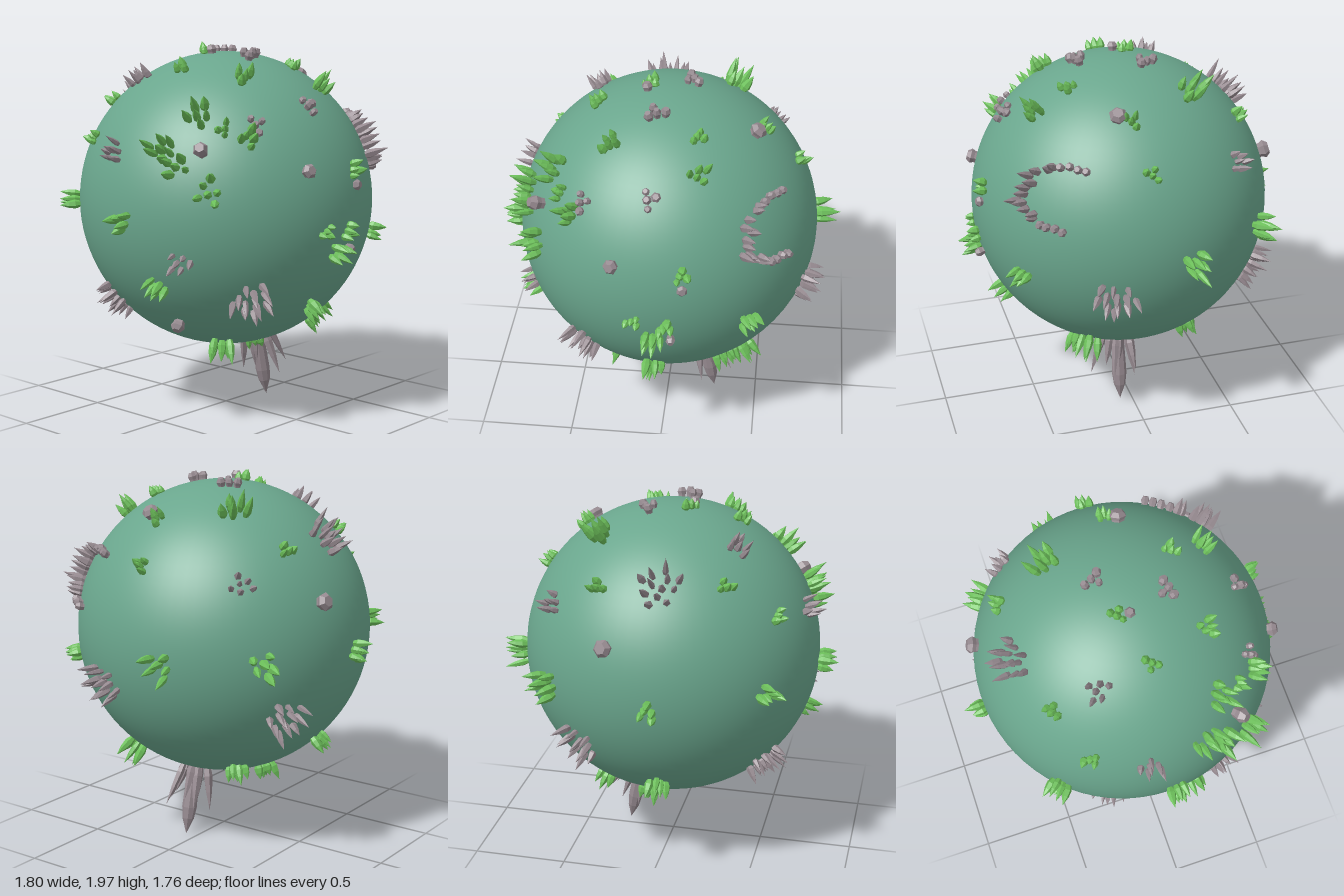
import * as THREE from 'three';

const R = 0.782, CENTER = new THREE.Vector3(0, 1.134, 0), UP = new THREE.Vector3(0, 1, 0);
const mat = (color, flatShading) => new THREE.MeshStandardMaterial({ color, flatShading });
const GROUND = mat(0x6aa68d, false), GREEN = mat(0x6cbf5a, true), STONE = mat(0x968a90, true);

// small seeded generator
let seed = 7;
const rnd = (a, b) => {
  seed = (seed * 16807) % 2147483647;
  return a + (b - a) * seed / 2147483647;
};

// unit-height, unit-radius low-poly pieces, standing on their base
const lathe = (sides, ...p) => new THREE.LatheGeometry(p.map(([r, y]) => new THREE.Vector2(r, y)), sides);
const LEAF = lathe(6, [0, 0], [0.6, 0.05], [1, 0.32], [0.75, 0.62], [0, 1]);
const SPIKE = lathe(5, [0.6, 0], [1, 0.25], [0.7, 0.6], [0, 1]);
const ROCK = lathe(6, [0.75, 0], [0.8, 0.35], [1, 0.65], [0.6, 1], [0, 1]);
const PILLAR = lathe(8, [0.75, 0], [0.95, 0.45], [1, 0.62], [0.8, 0.78], [0, 1]);

// direction from longitude (0 = front, 90 = left) and latitude in degrees
const toward = (lon, lat) => new THREE.Vector3().setFromSphericalCoords(
  1, THREE.MathUtils.degToRad(90 - lat), THREE.MathUtils.degToRad(lon));

// one piece rooted in the globe at direction dir, pointing along aim
function piece(name, geo, material, dir, aim, radius, height) {
  const m = new THREE.Mesh(geo, material);
  m.name = name;
  m.position.copy(CENTER).addScaledVector(dir, R - 0.012);
  m.quaternion.setFromUnitVectors(UP, aim.clone().normalize());
  m.rotateY(rnd(0, 6));
  m.scale.set(radius, height, radius);
  return m;
}

// clumps at the given places, each fanning its pieces out over a small disc
function clumps(name, geo, material, { count, spread, height, radius }, places) {
  const group = new THREE.Group();
  group.name = name;
  for (const [lon, lat] of places) {
    const n = toward(lon, lat);
    const q = new THREE.Quaternion().setFromUnitVectors(UP, n);
    for (let i = 0; i < count; i++) {
      const a = i * 2.4 + lon, d = spread * Math.sqrt((i + 0.3) / count);
      const off = new THREE.Vector3(Math.cos(a) * d, 0, Math.sin(a) * d).applyQuaternion(q);
      const dir = n.clone().multiplyScalar(R).add(off).normalize();
      const aim = dir.clone().addScaledVector(off, 2.5);
      group.add(piece(name + 'Piece', geo, material, dir, aim, radius * rnd(0.8, 1.15), height * rnd(0.7, 1.15)));
    }
  }
  return group;
}

// crescent ridge: spikes in the middle, low rocks at both ends
function crescentRidge() {
  const ridge = new THREE.Group();
  ridge.name = 'crescentRidge';
  const curve = new THREE.CatmullRomCurve3(
    [[61, 33], [47, 33], [38, 26], [36, 19], [43, 14], [54, 11]].map((p) => toward(...p)));
  for (let i = 0; i < 20; i++) {
    const t = i / 19, mid = Math.sin(Math.PI * t);
    const jitter = new THREE.Vector3(rnd(-1, 1), rnd(-1, 1), rnd(-1, 1));
    const dir = curve.getPoint(t).addScaledVector(jitter, 0.035 * mid).normalize();
    const tall = mid > 0.55;
    const height = tall ? 0.07 + 0.07 * mid * rnd(0.4, 1) : 0.055;
    ridge.add(piece('ridgeStone', tall ? SPIKE : ROCK, STONE, dir, dir, 0.023, height));
  }
  return ridge;
}

export function createModel() {
  const model = new THREE.Group();
  model.name = 'planet';

  const globe = new THREE.Mesh(new THREE.SphereGeometry(R, 72, 48), GROUND);
  globe.name = 'globe';
  globe.position.copy(CENTER);
  model.add(globe);

  // plants in three sizes
  model.add(clumps('tallPlants', LEAF, GREEN, { count: 6, spread: 0.065, height: 0.135, radius: 0.023 }, [
    [55, -52], [-51, -66], [-60, 38], [-54, 10], [-74, 24], [-67, 19], [133, 58], [103, -3], [140, -2],
  ]));
  model.add(clumps('bushes', LEAF, GREEN, { count: 5, spread: 0.048, height: 0.112, radius: 0.022 }, [
    [-1, -14], [36, -11], [-3, -39], [45, -55], [21, 49], [-36, 57], [-39, 29], [-88, -2],
    [-77, -27], [135, -58], [169, -67], [185, -43], [183, -3], [228, 0],
  ]));
  model.add(clumps('sprouts', LEAF, GREEN, { count: 4, spread: 0.04, height: 0.075, radius: 0.021 }, [
    [10, 14], [-8, -7], [4, -8], [29, 63], [-49, 33], [83, 52], [89, 32], [156, 39],
    [243, 82], [218, 41], [-87, 63], [239, 25], [22, -78],
  ]));

  // stone spikes and rocks
  model.add(clumps('spikeFields', SPIKE, STONE, { count: 12, spread: 0.1, height: 0.115, radius: 0.019 }, [
    [-37, -32], [73, -15], [151, -25], [186, 42], [243, -39],
  ]));
  model.add(clumps('spikeTufts', SPIKE, STONE, { count: 6, spread: 0.06, height: 0.09, radius: 0.018 }, [
    [133, 27], [237, 55], [263, 22], [-65, -16],
  ]));
  model.add(clumps('boulders', ROCK, STONE, { count: 1, spread: 0, height: 0.08, radius: 0.046 }, [
    [-16, 16], [-74, -47], [-57, 24], [74, 54], [166, 18],
  ]));
  model.add(clumps('pebbles', ROCK, STONE, { count: 4, spread: 0.05, height: 0.058, radius: 0.023 }, [
    [-34, 34], [-3, 41], [-11, 75], [138, 79],
  ]));
  model.add(clumps('smallRocks', ROCK, STONE, { count: 1, spread: 0, height: 0.05, radius: 0.027 }, [
    [6, -14], [270, 82], [10, 9],
  ]));
  model.add(crescentRidge());

  // long stalactite below, ringed by shorter ones
  model.add(clumps('stalactiteRing', SPIKE, STONE, { count: 9, spread: 0.085, height: 0.23, radius: 0.025 }, [[73, -75]]));
  const root = toward(73, -75);
  const aim = new THREE.Vector3(0.265, 0, 0.065).sub(CENTER).addScaledVector(root, 0.012 - R);
  model.add(piece('stalactite', PILLAR, STONE, root, aim, 0.04, aim.length()));
  return model;
}
